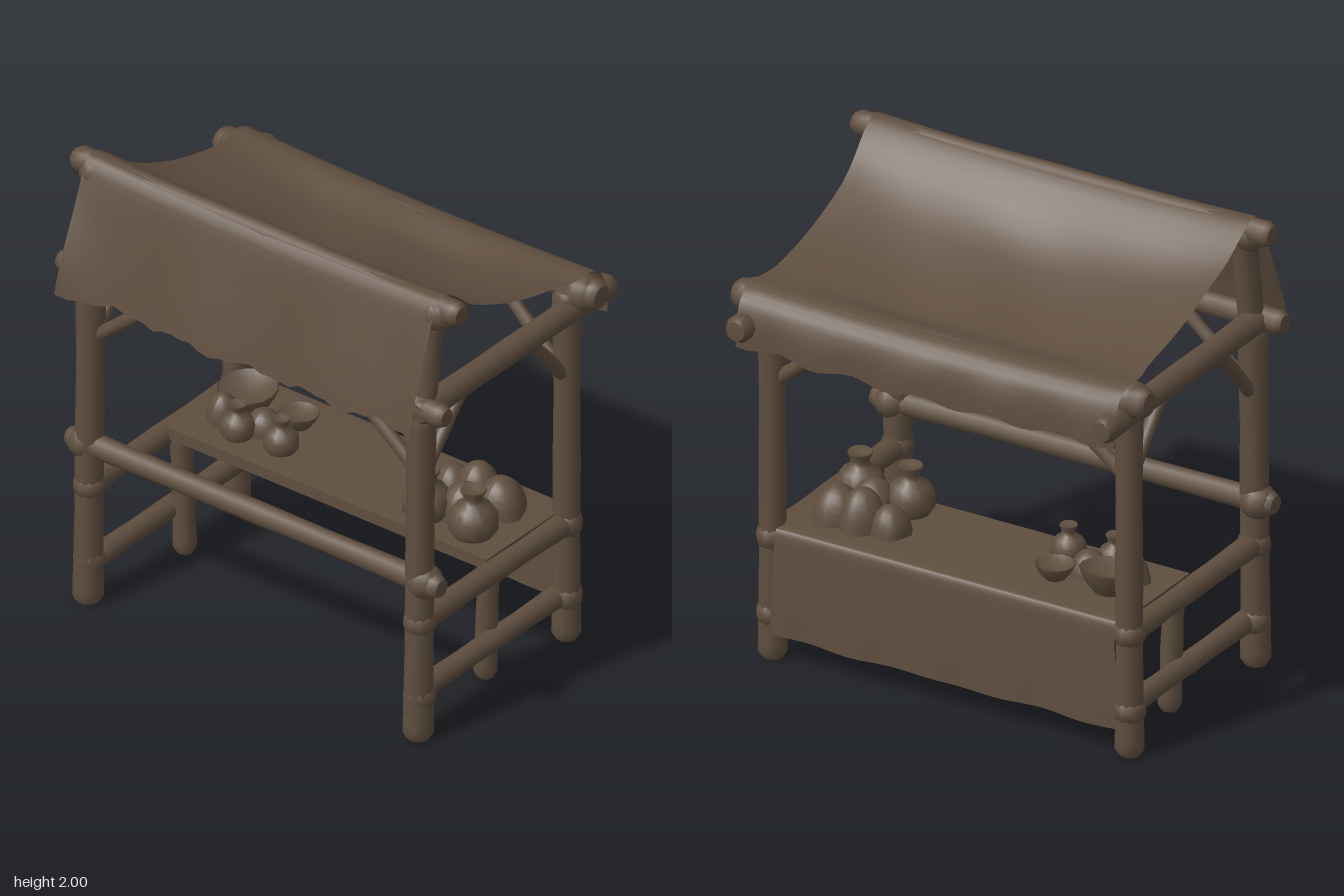
import * as THREE from 'three';

const timber = new THREE.MeshStandardMaterial({ color: 0x5f4e3f });
timber.name = 'weathered brown';
const fabric = new THREE.MeshStandardMaterial({ color: 0x5f4e3f, side: THREE.DoubleSide });
fabric.name = 'brown cloth';

const V = (x, y, z) => new THREE.Vector3(x, y, z);

export function createModel() {
  const group = new THREE.Group();

  const add = (name, geometry, material = timber) => {
    const mesh = new THREE.Mesh(geometry, material);
    mesh.name = name;
    group.add(mesh);
    return mesh;
  };

  // A hewn log between two points, with chamfered ends and slight knobbliness
  const log = (name, a, b, r) => {
    const len = a.distanceTo(b);
    const c = Math.min(0.025, len * 0.1);
    const pts = [[0, 0], [r * 0.78, 0], [r * 0.8, 0.003], [r * 1.08, c], [r * 1.06, c * 2.5],
      [r * 0.97, len * 0.3], [r * 1.01, len * 0.5], [r * 0.95, len * 0.7],
      [r * 1.06, len - c * 2.5], [r * 1.08, len - c], [r * 0.8, len - 0.003], [r * 0.78, len], [0, len]]
      .map(([x, y]) => new THREE.Vector2(x, y));
    const mesh = add(name, new THREE.LatheGeometry(pts, 10));
    mesh.position.copy(a);
    mesh.quaternion.setFromUnitVectors(V(0, 1, 0), b.clone().sub(a).normalize());
  };

  // Swollen joint where logs meet
  const joint = (x, y, z, r = 0.068) => {
    add('joint', new THREE.SphereGeometry(r, 10, 8)).position.set(x, y, z);
  };

  // Cloth: an x-y profile swept along z, then displaced by a rule
  const sheet = (name, profile, halfWidth, rule) => {
    const curve = new THREE.SplineCurve(profile.map(([x, y]) => new THREE.Vector2(x, y)));
    const geo = new THREE.PlaneGeometry(1, 1, 40, 36);
    const p = geo.attributes.position;
    for (let i = 0; i < p.count; i++) {
      const u = p.getX(i) + 0.5, s = p.getY(i) * 2;
      const q = curve.getPoint(u);
      const v = rule(V(q.x, q.y, s * halfWidth), u, s);
      p.setXYZ(i, v.x, v.y, v.z);
    }
    geo.computeVertexNormals();
    return add(name, geo, fabric);
  };

  for (const s of [1, -1]) {
    const z = 0.82 * s;
    // Uprights; the tall back post leans in towards the ridge
    log('backPostLower', V(-0.52, 0, z), V(-0.5, 1.5, z), 0.058);
    log('backPostUpper', V(-0.5, 1.42, z), V(-0.43, 1.94, z), 0.053);
    log('frontPost', V(0.42, 0, z), V(0.425, 1.6, z), 0.055);
    log('middleLeg', V(0, 0, 0.745 * s), V(0, 0.56, 0.765 * s), 0.045);
    // Side rails
    log('lowerSideRail', V(-0.5, 0.195, 0.8 * s), V(0.42, 0.195, 0.8 * s), 0.045);
    log('counterSideRail', V(-0.5, 0.53, z), V(0.42, 0.53, z), 0.048);
    log('sideBeam', V(-0.56, 1.515, 0.84 * s), V(0.67, 1.515, 0.84 * s), 0.053);
    // Corner braces across and along the stall
    log('sideBrace', V(0.42, 1.2, z), V(0.16, 1.5, z), 0.029);
    log('sideBrace', V(-0.5, 1.18, z), V(-0.22, 1.5, z), 0.029);
    log('frontBrace', V(0.42, 1.2, z), V(0.45, 1.53, 0.42 * s), 0.029);
    log('backBrace', V(-0.5, 1.2, z), V(-0.51, 1.5, 0.46 * s), 0.029);
    for (const [x, y] of [[-0.51, 0.195], [-0.51, 0.53], [0.42, 0.195], [0.42, 0.53], [-0.5, 1.515], [0.43, 1.515]])
      joint(x, y, z);
    joint(-0.505, 0.72, 0.84 * s, 0.075);
    joint(-0.43, 1.92, 0.85 * s, 0.07);
    joint(0.47, 1.58, 0.86 * s, 0.08);
  }

  // Long beams
  log('ridgeBeam', V(-0.42, 1.945, -0.96), V(-0.42, 1.945, 0.96), 0.05);
  log('frontBeam', V(0.48, 1.585, -0.95), V(0.48, 1.585, 0.95), 0.06);
  log('backBeam', V(-0.515, 1.52, -0.96), V(-0.515, 1.52, 0.96), 0.047);
  log('backRail', V(-0.51, 0.72, -0.92), V(-0.51, 0.72, 0.93), 0.047);

  // Canopy: hangs behind the ridge, sags to the front beam and hangs over it
  const smooth = THREE.MathUtils.smoothstep;
  sheet('canopy', [[-0.61, 1.46], [-0.58, 1.6], [-0.54, 1.76], [-0.5, 1.91], [-0.465, 1.985], [-0.41, 2.0],
    [-0.34, 1.96], [-0.22, 1.86], [-0.06, 1.78], [0.1, 1.72], [0.26, 1.68], [0.4, 1.655],
    [0.5, 1.66], [0.575, 1.62], [0.61, 1.53], [0.615, 1.43]], 0.87, (v, u, s) => {
    const mid = 1 - s * s;
    const sag = smooth(v.x, -0.38, -0.1) * (1 - smooth(v.x, 0.3, 0.46));
    v.y -= 0.065 * mid * sag + 0.018 * mid * (1 - sag);
    v.z *= 1 - 0.025 * sag;
    v.y += 0.008 * Math.sin(v.z * 9 + v.x * 6) * sag * mid;
    // Ragged hems with flared back corners
    const back = 1 - smooth(u, 0, 0.22), front = smooth(u, 0.87, 1);
    v.x -= back * (0.05 * s ** 12 - 0.012 * Math.sin(s * 8));
    v.y += (back + front) * 0.013 * Math.sin(s * 17 + 1) + back * 0.008 * Math.sin(s * 41);
    v.x += front * 0.006 * Math.sin(s * 13);
    return v;
  });

  // Counter board and the cloth skirt on its front
  add('counter', new THREE.BoxGeometry(0.48, 0.05, 1.6)).position.set(0.18, 0.557, 0);
  sheet('counterSkirt', [[-0.04, 0.586], [0.14, 0.588], [0.32, 0.588], [0.43, 0.588], [0.468, 0.565],
    [0.474, 0.45], [0.474, 0.28], [0.472, 0.12]], 0.78, (v, u, s) => {
    const hang = smooth(u, 0.55, 1);
    v.x += 0.006 * Math.sin(s * 14) * hang;
    v.y += 0.004 * Math.sin(s * 9) * hang;
    v.z *= 1 + 0.02 * hang;
    return v;
  });

  // Turned wares
  const turned = (name, profile, x, z, k = 1, tilt = 0) => {
    const mesh = add(name, new THREE.LatheGeometry(profile.map(([r, y]) => new THREE.Vector2(r * k, y * k)), 14), fabric);
    mesh.position.set(x, 0.585, z);
    mesh.rotation.z = tilt;
  };
  const jar = [[0.08, 0], [0.1, 0.03], [0.1, 0.085], [0.075, 0.125], [0.042, 0.145], [0.038, 0.17],
    [0.052, 0.2], [0.048, 0.207], [0.028, 0.195], [0, 0.19]];
  const bowl = [[0.06, 0], [0.07, 0.015], [0.1, 0.05], [0.125, 0.1], [0.118, 0.104], [0.08, 0.07], [0, 0.06]];
  turned('jar', jar, 0.06, 0.64);
  turned('jar', jar, 0.06, 0.41);
  turned('jar', jar, 0.08, -0.33, 0.72);
  turned('jar', jar, 0.06, -0.53, 0.72);
  turned('bowl', bowl, 0.25, -0.62, 1, 0.1);
  turned('bowl', bowl, 0.26, -0.38, 0.65);

  // Lumpy sacks
  const sack = (x, z, r, h, seed) => {
    const geo = new THREE.SphereGeometry(1, 14, 8, 0, Math.PI * 2, 0, Math.PI / 2);
    const p = geo.attributes.position;
    for (let i = 0; i < p.count; i++) {
      const a = Math.atan2(p.getZ(i), p.getX(i));
      const f = 1 + 0.1 * Math.sin(a * 4 + seed) * (1 - p.getY(i));
      p.setXYZ(i, p.getX(i) * r * f, p.getY(i) * h, p.getZ(i) * r * f);
    }
    geo.computeVertexNormals();
    add('sack', geo).position.set(x, 0.585, z);
  };
  [[0.26, 0.62, 0.105, 0.15], [0.27, 0.5, 0.1, 0.17], [0.26, 0.38, 0.085, 0.12], [0.14, 0.53, 0.1, 0.15],
    [0.15, -0.47, 0.08, 0.1], [0.12, -0.65, 0.07, 0.12]].forEach(([x, z, r, h], i) => sack(x, z, r, h, i * 1.7));

  return group;
}
